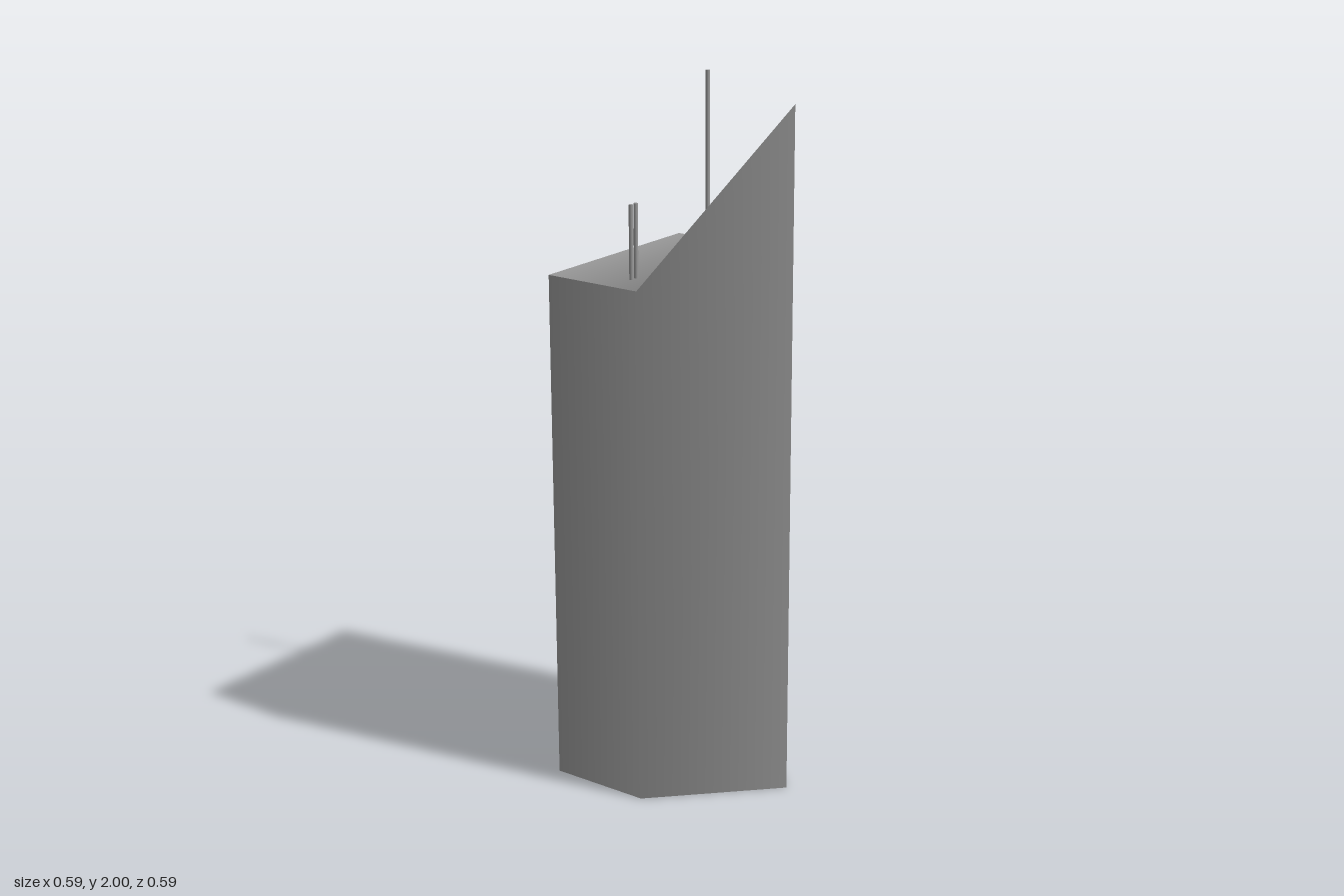
import * as THREE from 'three';

const ROOF = 1.485, PEAK = 1.968, R = 0.297;

// Five-sided tower: flat roof at the back, rising to a pointed prow at +x.
// Shading runs smoothly over the two side corners; all other edges are sharp.
function towerGeometry() {
  const plan = [[-R, R], [0, R], [R, 0], [0, -R], [-R, -R]];
  const n = plan.length;
  const smoothCorners = [1, 3];
  const positions = [], normals = [];

  const base = plan.map(([x, z]) => new THREE.Vector3(x, 0, z));
  const top = plan.map(([x, z]) => new THREE.Vector3(x, x > 0 ? PEAK : ROOF, z));
  const average = (a, b) => a.clone().add(b).normalize();
  const addTriangle = (points, pointNormals) => {
    points.forEach((p) => positions.push(...p));
    pointNormals.forEach((v) => normals.push(...v));
  };

  // walls
  const wallNormals = plan.map(([x, z], i) => {
    const [x2, z2] = plan[(i + 1) % n];
    return new THREE.Vector3(z - z2, 0, x2 - x).normalize();
  });
  const wallNormalAt = (wall, corner) => (smoothCorners.includes(corner)
    ? average(wallNormals[corner - 1], wallNormals[corner])
    : wallNormals[wall]);
  for (let i = 0; i < n; i++) {
    const j = (i + 1) % n;
    const ni = wallNormalAt(i, i), nj = wallNormalAt(i, j);
    addTriangle([base[i], base[j], top[j]], [ni, nj, nj]);
    addTriangle([base[i], top[j], top[i]], [ni, nj, ni]);
  }

  // flat roof, sloped roof and base
  const up = new THREE.Vector3(0, 1, 0);
  const down = new THREE.Vector3(0, -1, 0);
  const slope = new THREE.Vector3(ROOF - PEAK, R, 0).normalize();
  const ridge = average(up, slope);
  const roofNormals = [up, ridge, slope, ridge, up];
  for (const face of [[0, 1, 3], [0, 3, 4], [1, 2, 3]]) {
    addTriangle(face.map((k) => top[k]), face.map((k) => roofNormals[k]));
    addTriangle(face.map((k) => base[k]).reverse(), [down, down, down]);
  }

  const geometry = new THREE.BufferGeometry();
  geometry.setAttribute('position', new THREE.Float32BufferAttribute(positions, 3));
  geometry.setAttribute('normal', new THREE.Float32BufferAttribute(normals, 3));
  return geometry;
}

export function createModel() {
  const group = new THREE.Group();
  const material = new THREE.MeshStandardMaterial({ color: 0x999999 });

  const tower = new THREE.Mesh(towerGeometry(), material);
  tower.name = 'tower';
  group.add(tower);

  // Roof antennas: one tall mast and a short pair
  const addAntenna = (name, z, tip) => {
    const height = tip - ROOF;
    const rod = new THREE.Mesh(new THREE.CylinderGeometry(0.006, 0.006, height, 16), material);
    rod.position.set(-0.085, ROOF + height / 2, z);
    rod.name = name;
    group.add(rod);
  };
  addAntenna('tallAntenna', -0.144, 2);
  addAntenna('shortAntennaInner', 0.185, 1.69);
  addAntenna('shortAntennaOuter', 0.206, 1.69);

  return group;
}
